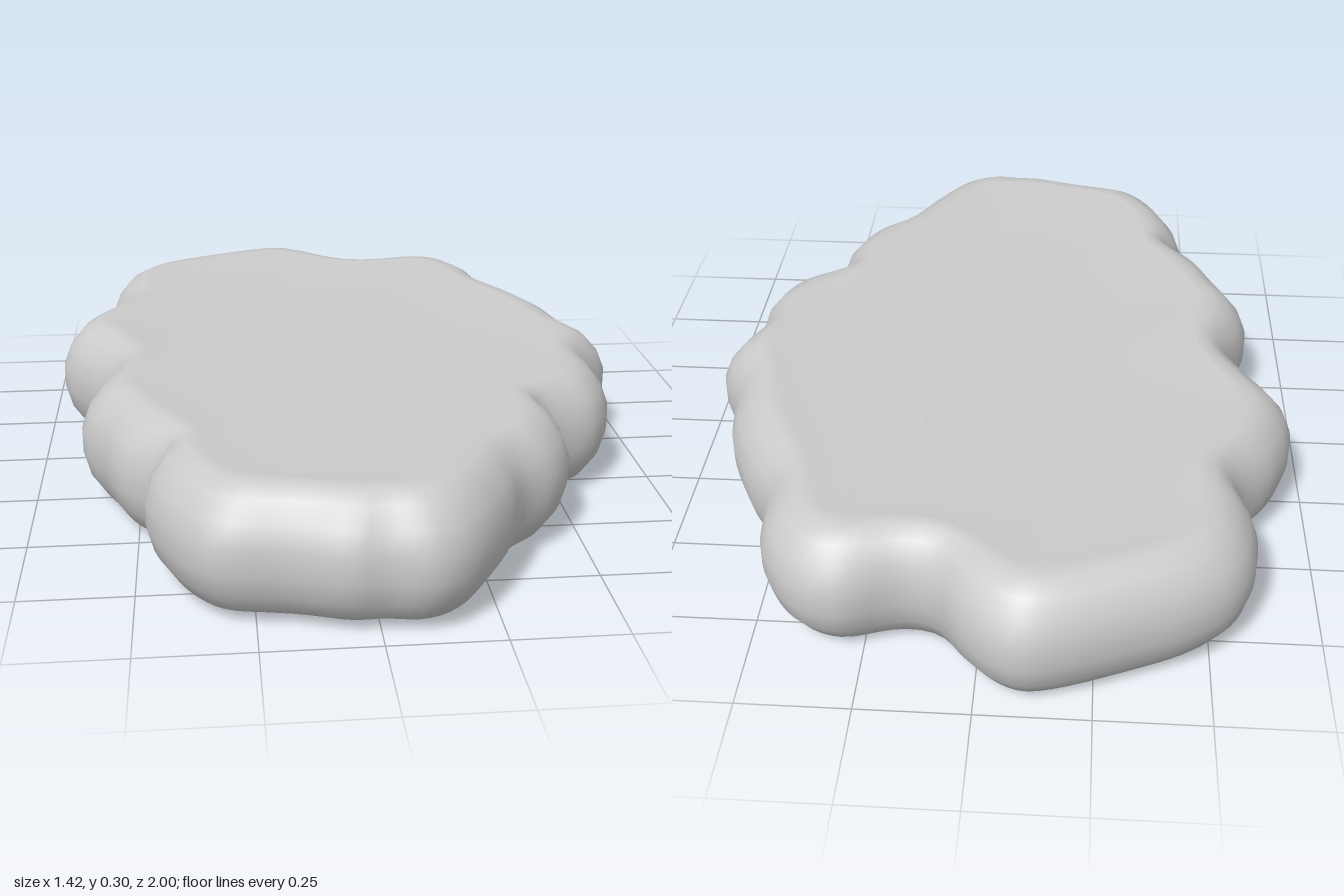
import * as THREE from 'three';

// Plan outline of the slab as x, z pairs, running from the back round by +x
const OUTLINE = [
  -0.11, -1.0, -0.04, -0.98, 0.03, -0.92, 0.1, -0.83, 0.17, -0.82, 0.3, -0.865, 0.4, -0.83,
  0.48, -0.72, 0.505, -0.57, 0.57, -0.46, 0.63, -0.32, 0.655, -0.18, 0.7, -0.08, 0.705, -0.04,
  0.645, 0.09, 0.65, 0.2, 0.62, 0.28, 0.585, 0.325, 0.46, 0.41, 0.48, 0.5, 0.43, 0.61,
  0.34, 0.69, 0.29, 0.79, 0.21, 0.92, 0.15, 0.975, 0.09, 0.995, 0, 0.98, -0.06, 0.985,
  -0.19, 0.94, -0.33, 0.915, -0.39, 0.86, -0.455, 0.74, -0.475, 0.65, -0.455, 0.58,
  -0.54, 0.48, -0.585, 0.37, -0.63, 0.27, -0.63, 0.2, -0.585, 0.04, -0.64, -0.07,
  -0.705, -0.18, -0.705, -0.26, -0.66, -0.37, -0.575, -0.49, -0.6, -0.6, -0.59, -0.71,
  -0.55, -0.79, -0.48, -0.85, -0.36, -0.91,
];

// Edge section from underside to top: inset, height, scale towards the centre
const SECTION = [
  [0.18, 0.012, 0], [0.18, 0.012, 0.5], [0.18, 0.012, 1], [0.12, 0.006, 1], [0.08, 0.012, 1],
  [0.04, 0.035, 1], [0.012, 0.08, 1], [0, 0.13, 1], [0, 0.19, 1], [0.018, 0.24, 1],
  [0.05, 0.282, 1], [0.085, 0.302, 1], [0.12, 0.305, 1], [0.18, 0.295, 1],
  [0.18, 0.293, 0.5], [0.18, 0.293, 0],
];

const SEGMENTS = 192;
const MAX_INSET = 0.18;

function createSlabGeometry() {
  const corners = [];
  for (let i = 0; i < OUTLINE.length; i += 2) {
    corners.push(new THREE.Vector3(OUTLINE[i], 0, OUTLINE[i + 1]));
  }
  const edge = new THREE.CatmullRomCurve3(corners, true).getSpacedPoints(SEGMENTS).slice(0, SEGMENTS);
  const at = (list, i) => list[(i + SEGMENTS) % SEGMENTS];

  // Smoothed outline, so the lobes fade out towards the flat faces
  const soft = edge.map((_, i) => {
    const sum = new THREE.Vector3();
    for (let k = -5; k <= 5; k++) sum.add(at(edge, i + k));
    return sum.divideScalar(11);
  });
  const outward = soft.map((_, i) => {
    const t = at(soft, i + 3).clone().sub(at(soft, i - 3));
    return new THREE.Vector3(t.z, 0, -t.x).normalize();
  });

  const positions = [];
  const indices = [];
  SECTION.forEach(([inset, y, scale], j) => {
    for (let i = 0; i < SEGMENTS; i++) {
      const p = edge[i].clone().lerp(soft[i], inset / MAX_INSET);
      p.addScaledVector(outward[i], -inset).multiplyScalar(scale);
      positions.push(p.x, y, p.z);
      if (j === SECTION.length - 1) continue;
      const next = (i + 1) % SEGMENTS;
      const a = j * SEGMENTS + i;
      const b = j * SEGMENTS + next;
      indices.push(a, a + SEGMENTS, b, b, a + SEGMENTS, b + SEGMENTS);
    }
  });

  const geometry = new THREE.BufferGeometry();
  geometry.setAttribute('position', new THREE.Float32BufferAttribute(positions, 3));
  geometry.setIndex(indices);
  geometry.computeVertexNormals();
  // The collapsed centre points of both faces point straight down and up
  const normals = geometry.attributes.normal;
  const last = (SECTION.length - 1) * SEGMENTS;
  for (let i = 0; i < SEGMENTS; i++) {
    normals.setXYZ(i, 0, -1, 0);
    normals.setXYZ(last + i, 0, 1, 0);
  }
  return geometry;
}

export function createModel() {
  const model = new THREE.Group();
  model.name = 'steppingStone';
  const slab = new THREE.Mesh(
    createSlabGeometry(),
    new THREE.MeshStandardMaterial({ color: 0xcccccc })
  );
  slab.name = 'stoneSlab';
  model.add(slab);
  return model;
}
